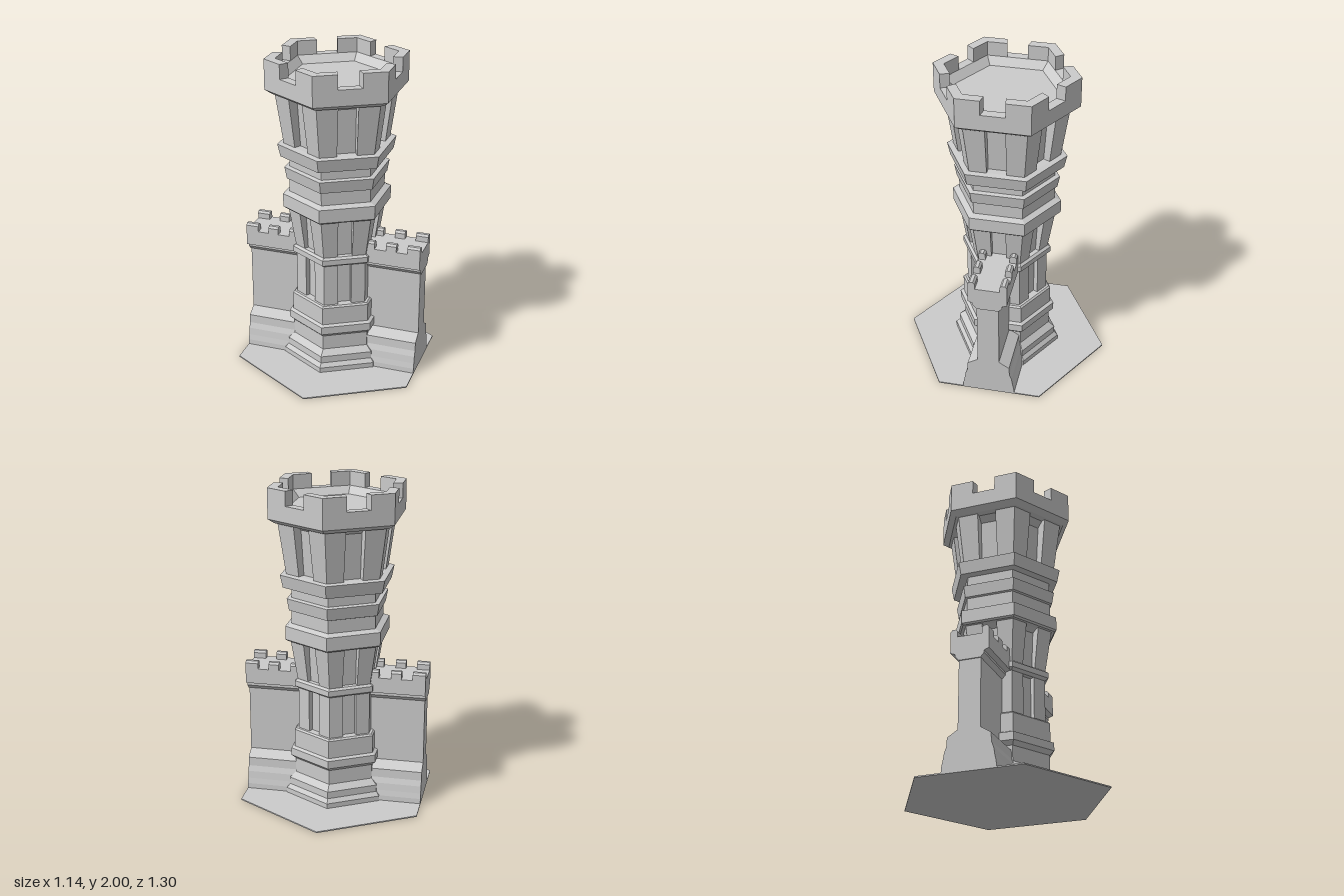
import * as THREE from 'three';

const material = new THREE.MeshStandardMaterial({ color: 0xcccccc, flatShading: true });
const C30 = Math.cos(Math.PI / 6);

function add(group, name, geometry) {
  const mesh = new THREE.Mesh(geometry, material);
  mesh.name = name;
  group.add(mesh);
  return mesh;
}

// Hexagonal body from [flat-side distance, height] pairs; corners lie on the z axis
function hexBody(profile) {
  return new THREE.LatheGeometry(profile.map(([a, y]) => new THREE.Vector2(a / C30, y)), 6);
}

// Chevron section wrapping one hexagon corner, leaving an opening in each side
function cornerSection(outer, inner, y, halfOut, halfIn) {
  const edge = (a, h, s) => [s * (a * 0.5 - h * C30), y, a * C30 + h * 0.5];
  return [
    edge(outer, halfOut, -1), [0, y, outer / C30], edge(outer, halfOut, 1),
    edge(inner, halfIn, 1), [0, y, inner / C30], edge(inner, halfIn, -1),
  ];
}

// Loft between a lower and an upper chevron section
function cornerBlock(bottom, top) {
  const index = [];
  for (let i = 0; i < 6; i++) {
    const j = (i + 1) % 6;
    index.push(i, j, j + 6, i, j + 6, i + 6);
  }
  for (const [a, b, c, d] of [[0, 1, 4, 5], [1, 2, 3, 4]]) {
    index.push(a + 6, b + 6, c + 6, a + 6, c + 6, d + 6);
    index.push(a, c, b, a, d, c);
  }
  const geometry = new THREE.BufferGeometry();
  geometry.setAttribute('position', new THREE.Float32BufferAttribute([...bottom, ...top].flat(), 3));
  geometry.setIndex(index);
  const flat = geometry.toNonIndexed();
  flat.computeVertexNormals();
  return flat;
}

function cornerRing(group, name, bottom, top) {
  const geometry = cornerBlock(bottom, top);
  for (let i = 0; i < 6; i++) add(group, name, geometry).rotation.y = (i * Math.PI) / 3;
}

// Extrude a [z, y] outline along x
function alongX(points, x0, x1) {
  const shape = new THREE.Shape(points.map(([z, y]) => new THREE.Vector2(-z, y)));
  const geometry = new THREE.ExtrudeGeometry(shape, { depth: x1 - x0, bevelEnabled: false });
  return geometry.rotateY(Math.PI / 2).translate(x0, 0, 0);
}

// Full outline from its right half
const mirrored = (half) => [...half, ...half.map(([z, y]) => [-z, y]).reverse()];

function buildTower() {
  const tower = new THREE.Group();
  tower.name = 'tower';

  add(tower, 'towerBase', hexBody([
    [0, 0.005], [0.3, 0.005], [0.3, 0.04], [0.28, 0.065], [0.28, 0.11], [0.245, 0.145],
    [0.245, 0.24], [0.27, 0.265], [0.27, 0.315], [0.25, 0.325], [0.25, 0.44], [0.24, 0.45], [0, 0.45],
  ]));
  add(tower, 'lowerCore', hexBody([[0.195, 0.44], [0.195, 0.73]]));
  add(tower, 'lowerRing', hexBody([
    [0, 0.72], [0.225, 0.72], [0.245, 0.735], [0.245, 0.77], [0.23, 0.782], [0, 0.782],
  ]));
  add(tower, 'middleCore', hexBody([[0.2, 0.77], [0.215, 1.02], [0.25, 1.04]]));
  add(tower, 'middleMouldings', hexBody([
    [0, 1.04], [0.285, 1.04], [0.295, 1.05], [0.295, 1.135], [0.26, 1.15], [0.26, 1.23],
    [0.273, 1.235], [0.285, 1.31], [0.258, 1.315], [0.258, 1.38], [0.305, 1.383],
    [0.32, 1.463], [0.285, 1.468], [0, 1.468],
  ]));
  add(tower, 'upperCore', hexBody([[0.24, 1.46], [0.262, 1.75], [0.3, 1.785]]));
  add(tower, 'crown', hexBody([
    [0, 1.785], [0.345, 1.785], [0.38, 1.812], [0.38, 1.91], [0.322, 1.91], [0.28, 1.865], [0, 1.865],
  ]));

  // Corner pillars frame the recessed panels
  cornerRing(tower, 'lowerPillar',
    cornerSection(0.225, 0.19, 0.445, 0.042, 0.042), cornerSection(0.225, 0.19, 0.725, 0.042, 0.042));
  cornerRing(tower, 'middlePillar',
    cornerSection(0.228, 0.19, 0.775, 0.047, 0.047), cornerSection(0.267, 0.2, 1.045, 0.047, 0.047));
  cornerRing(tower, 'upperPillar',
    cornerSection(0.286, 0.23, 1.465, 0.06, 0.06), cornerSection(0.328, 0.25, 1.79, 0.06, 0.06));
  cornerRing(tower, 'crownMerlon',
    cornerSection(0.38, 0.322, 1.91, 0.073, 0.063), cornerSection(0.38, 0.322, 2, 0.073, 0.063));
  return tower;
}

function buildWall() {
  const wall = new THREE.Group();
  wall.name = 'wall';

  add(wall, 'wallBody', alongX(mirrored([
    [0.165, 0.005], [0.163, 0.04], [0.155, 0.075], [0.148, 0.12], [0.135, 0.155],
    [0.132, 0.21], [0.068, 0.25], [0.068, 0.69],
  ]), 0.2, 0.5625));
  add(wall, 'wallHead', alongX(mirrored([
    [0.068, 0.67], [0.09, 0.695], [0.09, 0.71], [0.12, 0.722], [0.12, 0.82],
  ]), 0.2, 0.57));

  // Merlons with softened tops along both edges of the walkway
  for (const side of [1, -1]) {
    for (const [x0, x1] of [[0.2, 0.28], [0.355, 0.42], [0.49, 0.57]]) {
      add(wall, 'wallMerlon', alongX([
        [0.12, 0.815], [0.12, 0.855], [0.108, 0.868], [0.088, 0.868], [0.076, 0.855], [0.076, 0.815],
      ].map(([z, y]) => [side * z, y]), x0, x1));
    }
  }
  return wall;
}

export function createModel() {
  const model = new THREE.Group();
  model.name = 'castleTower';

  add(model, 'groundPlate', hexBody([[0, 0], [0.5625, 0], [0.5625, 0.008], [0, 0.008]]));
  model.add(buildTower());

  const leftWall = buildWall();
  leftWall.name = 'leftWall';
  const rightWall = buildWall();
  rightWall.name = 'rightWall';
  rightWall.rotation.y = Math.PI;
  model.add(leftWall, rightWall);
  return model;
}
